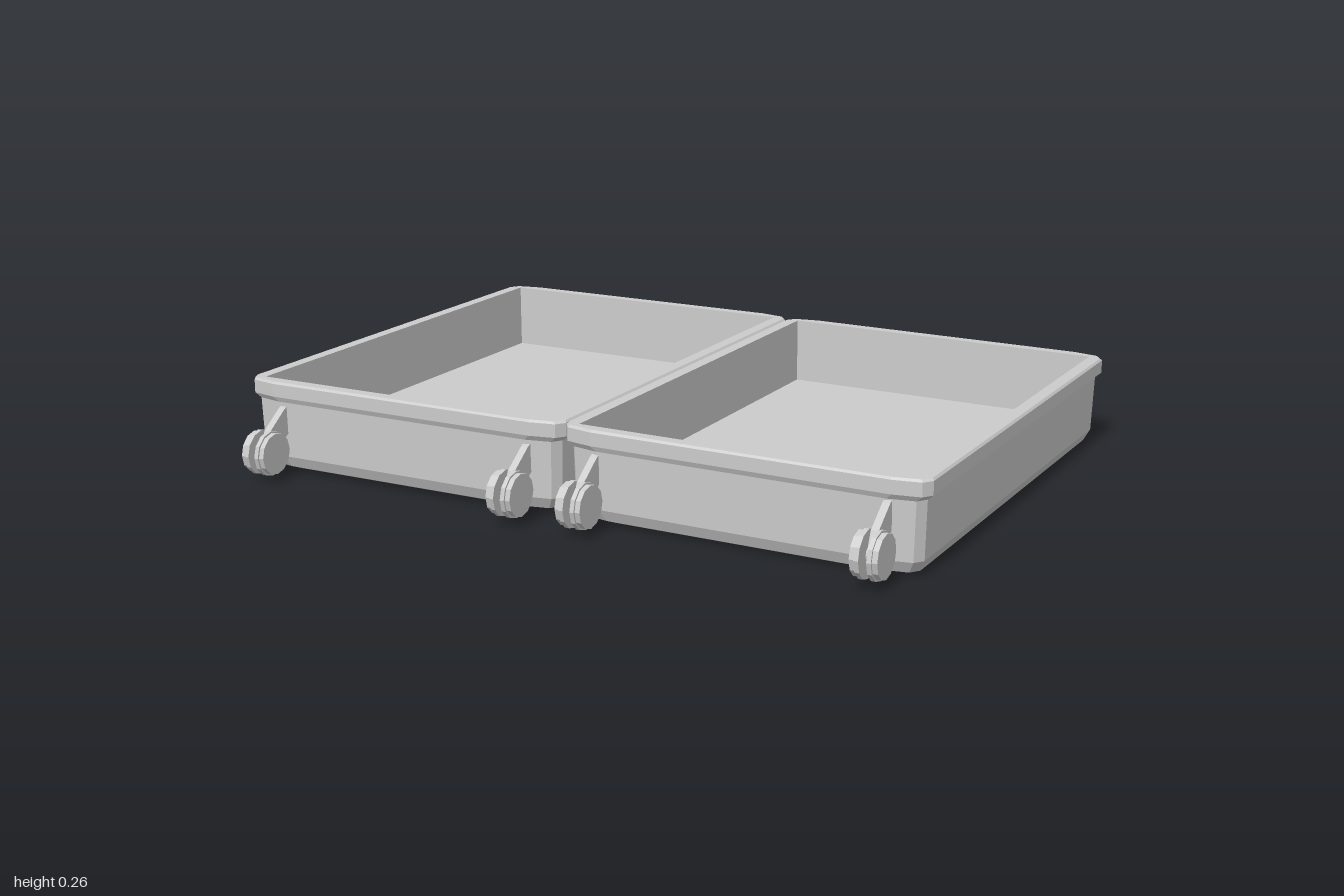
import * as THREE from 'three';

const grey = new THREE.MeshStandardMaterial({ color: 0xcccccc, flatShading: true });

function add(parent, geometry, name, x = 0, y = 0, z = 0) {
  const mesh = new THREE.Mesh(geometry, grey);
  mesh.name = name;
  mesh.position.set(x, y, z);
  parent.add(mesh);
  return mesh;
}

// Twelve-point outline: three points at each softened corner, or a plain rectangle
function outline(hx, hz, y, soft) {
  const corner = soft
    ? [[hx, hz - 0.04], [hx - 0.018, hz - 0.014], [hx - 0.09, hz]]
    : [[hx, hz], [hx, hz], [hx, hz]];
  const points = [];
  for (const [sx, sz] of [[1, 1], [-1, 1], [-1, -1], [1, -1]]) {
    const run = sx * sz > 0 ? corner : [...corner].reverse();
    for (const [x, z] of run) points.push([sx * x, y, sz * z]);
  }
  return points;
}

// Open tray: rings run from the underside, up the shell, over the rim and down inside
function trayGeometry() {
  const rings = [
    outline(0.446, 0.652, 0.007, true),
    outline(0.465, 0.668, 0.014, true),
    outline(0.48, 0.682, 0.045, true),
    outline(0.484, 0.686, 0.2, true),
    outline(0.5, 0.692, 0.214, true),
    outline(0.5, 0.692, 0.25, true),
    outline(0.495, 0.687, 0.256, true),
    outline(0.461, 0.655, 0.256, false),
    outline(0.459, 0.653, 0.07, false),
  ];
  const n = 12, position = [], index = [];
  rings.forEach((ring) => ring.forEach((p) => position.push(...p)));
  for (let r = 0; r < rings.length - 1; r++) {
    for (let i = 0; i < n; i++) {
      const a = r * n + i, b = r * n + (i + 1) % n;
      index.push(a, a + n, b, b, a + n, b + n);
    }
  }
  // Underside and inner floor
  const top = (rings.length - 1) * n;
  for (let i = 1; i < n - 1; i++) {
    index.push(0, i, i + 1);
    index.push(top, top + i + 1, top + i);
  }
  const geometry = new THREE.BufferGeometry();
  geometry.setAttribute('position', new THREE.Float32BufferAttribute(position, 3));
  geometry.setIndex(index);
  const flat = geometry.toNonIndexed();
  flat.computeVertexNormals();
  return flat;
}

// Twin wheel on a slanted fork
function caster(x) {
  const group = new THREE.Group();
  group.name = 'caster';
  const disc = (radius, width) =>
    new THREE.CylinderGeometry(radius, radius, width, 12).rotateZ(Math.PI / 2);
  for (const s of [-1, 1]) {
    add(group, disc(0.062, 0.012), 'wheelTread', s * 0.016, 0.084, 0.77);
    add(group, disc(0.057, 0.014), 'wheelFace', s * 0.029, 0.084, 0.77);
  }
  add(group, disc(0.018, 0.05), 'axle', 0, 0.084, 0.77);
  // Drawn in (z, y), extruded along x
  const side = new THREE.Shape([[0.67, 0.2], [0.695, 0.188], [0.76, 0.14], [0.785, 0.08], [0.755, 0.07], [0.67, 0.125]]
    .map(([z, y]) => new THREE.Vector2(-z, y)));
  const fork = new THREE.ExtrudeGeometry(side, { depth: 0.02, bevelEnabled: false });
  fork.translate(0, 0, -0.01).rotateY(Math.PI / 2);
  add(group, fork, 'fork');
  group.position.x = x;
  return group;
}

// Carry handle: slim arms flaring into a thicker grip
function carryHandle() {
  const group = new THREE.Group();
  group.name = 'carryHandle';
  for (const s of [-1, 1]) {
    const arm = new THREE.Shape([[0.125, 0.66], [0.147, 0.66], [0.157, 0.8], [0.122, 0.8]]
      .map(([x, z]) => new THREE.Vector2(s * x, z)));
    const geometry = new THREE.ExtrudeGeometry(arm, { depth: 0.026, bevelEnabled: false });
    geometry.rotateX(-Math.PI / 2);
    add(group, geometry, 'handleArm', 0, 0.03, 0);
  }
  add(group, new THREE.BoxGeometry(0.318, 0.038, 0.04), 'handleGrip', 0, 0.042, -0.813);
  group.position.x = -0.505;
  return group;
}

export function createModel() {
  const model = new THREE.Group();
  model.name = 'openSuitcase';

  // Two halves lying open side by side, the left one tipped a little outward
  const tray = trayGeometry();
  add(model, tray, 'rightHalf', -0.5, 0.004, 0);
  add(model, tray, 'leftHalf', 0.5, -0.001, 0).rotation.z = -0.006;

  for (const x of [-0.88, -0.1, 0.104, 0.9]) model.add(caster(x));
  model.add(carryHandle());
  return model;
}
